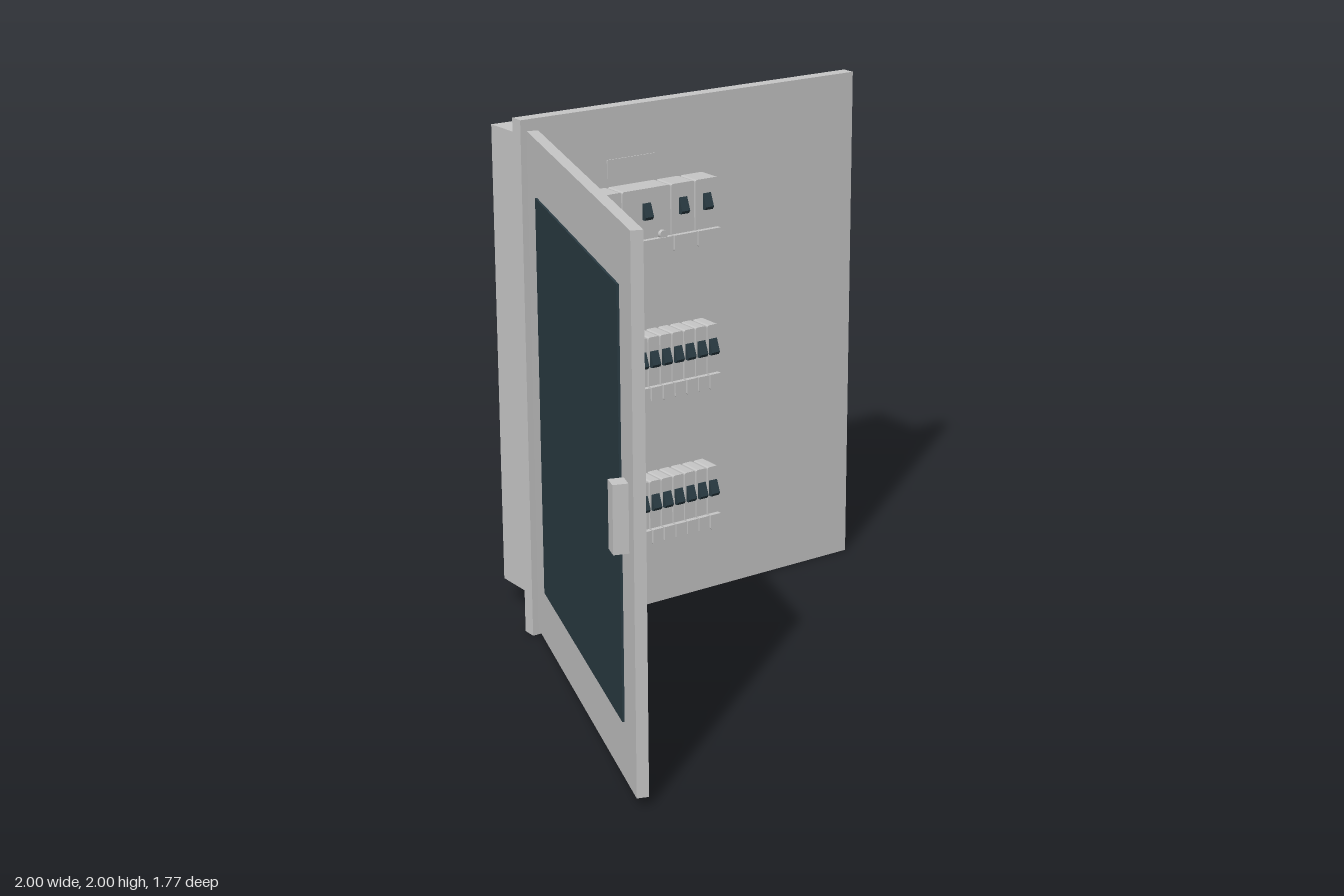
import * as THREE from 'three';

const grey = new THREE.MeshStandardMaterial({ color: 0xc6c6c6 });
grey.name = 'painted grey';
const dark = new THREE.MeshStandardMaterial({ color: 0x2a3b43 });
dark.name = 'dark smoke';

const PANEL_Z = -0.53; // front face of the mounting panel

function add(parent, name, geometry, material, x = 0, y = 0, z = 0) {
  const mesh = new THREE.Mesh(geometry, material);
  mesh.name = name;
  mesh.position.set(x, y, z);
  parent.add(mesh);
  return mesh;
}

// Box given by its limits on each axis
function block(parent, name, material, [x0, x1], [y0, y1], [z0, z1]) {
  return add(parent, name, new THREE.BoxGeometry(x1 - x0, y1 - y0, z1 - z0), material,
    (x0 + x1) / 2, (y0 + y1) / 2, (z0 + z1) / 2);
}

// Upright slab with rounded front outline, from y = 0 and z = 0
function roundedSlab(w, h, depth, rTop, rBottom) {
  const s = new THREE.Shape();
  const a = w / 2;
  s.moveTo(-a + rBottom, 0);
  s.lineTo(a - rBottom, 0);
  s.quadraticCurveTo(a, 0, a, rBottom);
  s.lineTo(a, h - rTop);
  s.quadraticCurveTo(a, h, a - rTop, h);
  s.lineTo(-a + rTop, h);
  s.quadraticCurveTo(-a, h, -a, h - rTop);
  s.lineTo(-a, rBottom);
  s.quadraticCurveTo(-a, 0, -a + rBottom, 0);
  return new THREE.ExtrudeGeometry(s, { depth, bevelEnabled: false, curveSegments: 3 });
}

// Wedge-shaped switch lever, profile drawn in depth and height
function leverGeometry(w) {
  const s = new THREE.Shape([
    new THREE.Vector2(-0.005, 0), new THREE.Vector2(0.014, 0), new THREE.Vector2(0.022, 0.012),
    new THREE.Vector2(0.002, 0.062), new THREE.Vector2(-0.005, 0.062),
  ]);
  const g = new THREE.ExtrudeGeometry(s, { depth: w, bevelEnabled: false });
  g.translate(0, 0, -w / 2);
  g.rotateY(-Math.PI / 2);
  return g;
}

function breaker(parent, x, y, w) {
  const g = new THREE.Group();
  g.name = 'breaker';
  g.position.set(x, y, PANEL_Z);
  add(g, 'breakerBody', roundedSlab(w, 0.252, 0.097, 0.008, 0.006), grey);
  add(g, 'breakerFoot', roundedSlab(w, 0.06, 0.02, 0.001, 0.006), grey, 0, 0, 0.097);
  add(g, 'breakerLever', leverGeometry(0.036), dark, 0, 0.135, 0.097);
  parent.add(g);
  return g;
}

// Row of breakers, widths counted in modules
function breakerRow(parent, name, y, modules) {
  const row = new THREE.Group();
  row.name = name;
  const pitch = 0.0542;
  let x = -0.361;
  for (const n of modules) {
    breaker(row, x + (n * pitch) / 2, y, n * pitch - 0.006);
    x += n * pitch;
  }
  parent.add(row);
}

export function createModel() {
  const model = new THREE.Group();
  model.name = 'distributionCabinet';

  // Recessed housing and front panel
  block(model, 'housing', grey, [-0.42, 0.905], [0.095, 1.91], [-0.888, -0.585]);
  block(model, 'frontPanel', grey, [-0.51, 1], [0, 2], [-0.585, PANEL_Z]);

  // Breakers
  const singles = Array(12).fill(1);
  breakerRow(model, 'lowerBreakers', 0.3, singles);
  breakerRow(model, 'middleBreakers', 0.875, singles);
  breakerRow(model, 'upperBreakers', 1.45, [4, 4, 2, 2]);

  // Label plate, test key and round button of the wide breaker
  block(model, 'labelPlate', grey, [-0.145, 0.072], [1.735, 1.805], [PANEL_Z, PANEL_Z + 0.004]);
  block(model, 'testKey', grey, [-0.117, -0.085], [1.51, 1.533], [-0.433, -0.417]);
  const button = add(model, 'roundButton', new THREE.CylinderGeometry(0.017, 0.017, 0.016, 16),
    grey, 0.03, 1.52, -0.425);
  button.rotation.x = Math.PI / 2;

  // Open door; local -x is its outer side, local +z its free edge
  const door = new THREE.Group();
  door.name = 'door';
  door.position.set(-0.715, 1, 0.19);
  door.rotation.y = -0.329;
  block(door, 'doorLeaf', grey, [-0.021, 0.021], [-0.965, 0.965], [-0.723, 0.723]);
  block(door, 'doorWindow', dark, [-0.029, -0.021], [-0.755, 0.755], [-0.576, 0.576]);
  block(door, 'doorHandle', grey, [-0.074, -0.021], [-0.12, 0.12], [0.604, 0.664]);
  model.add(door);

  return model;
}
